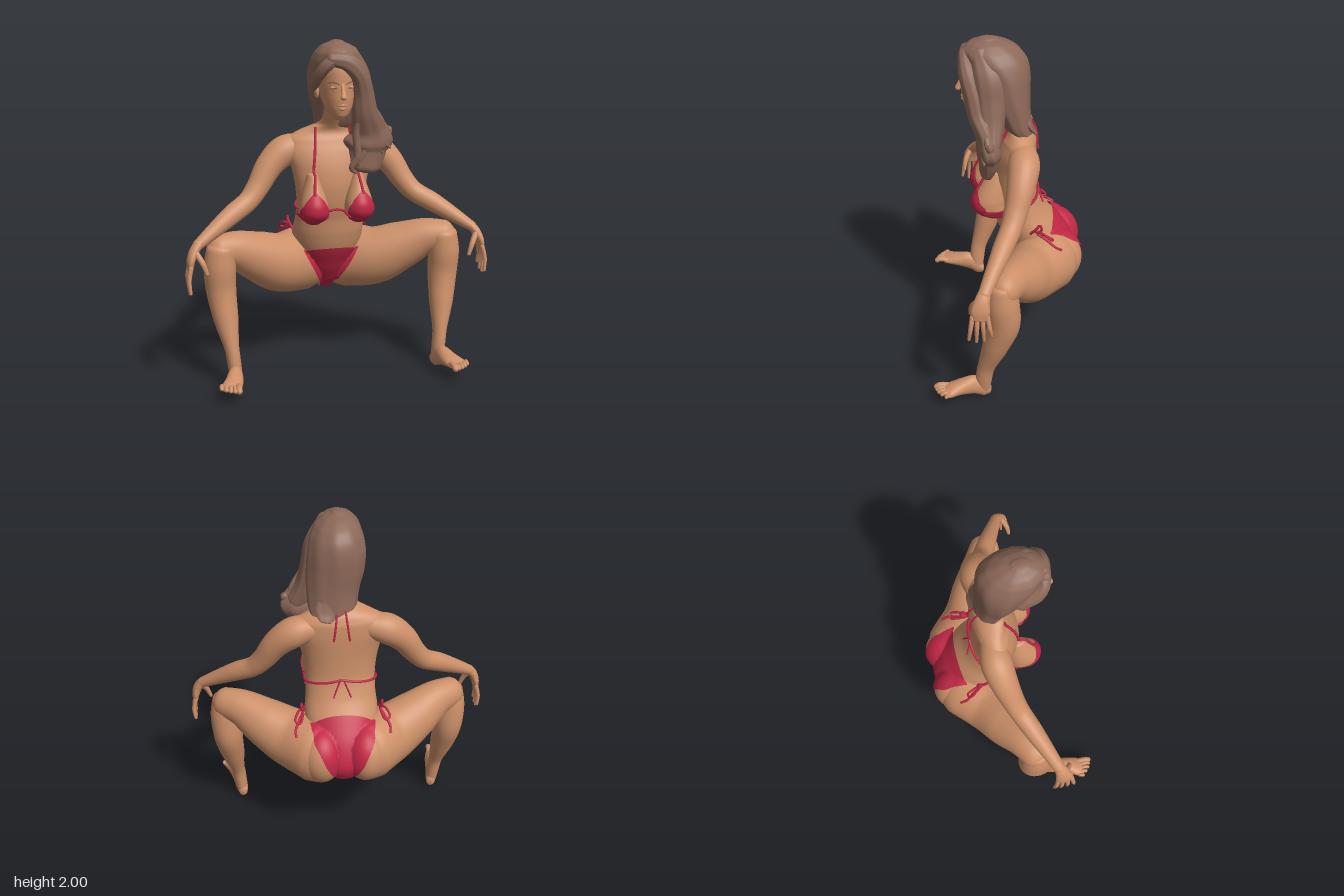
import * as THREE from 'three';
import { ParametricGeometry } from 'three/addons/geometries/ParametricGeometry.js';

const V = (x, y, z) => new THREE.Vector3(x, y, z);
const paint = (name, color) => Object.assign(new THREE.MeshStandardMaterial({ color }), { name });

// Smooth tube through points [x, y, z, ra, rb]; rb lies along ref, domes close both ends.
function limb(pts, { ref = V(0, 0, 1), axis = null, steps = 6, sides = 24, dome = 0.8, ridge = 0 } = {}) {
  const centre = new THREE.CatmullRomCurve3(pts.map(p => V(p[0], p[1], p[2])));
  const radii = new THREE.CatmullRomCurve3(pts.map(p => V(p[3], p[4] ?? p[3], 0)));
  const n = (pts.length - 1) * steps, rings = [];
  const add = (t, lift, k) => {
    const tan = axis ? axis.clone() : centre.getTangent(t);
    const r = radii.getPoint(t);
    rings.push({ c: centre.getPoint(t).addScaledVector(tan, lift * Math.min(r.x, r.y) * dome), tan, a: r.x * k, b: r.y * k });
  };
  const caps = [0.02, 0.4, 0.7, 0.92];
  caps.forEach(k => add(0, -Math.sqrt(1 - k * k), k));
  for (let i = 0; i <= n; i++) add(i / n, 0, 1);
  [...caps].reverse().forEach(k => add(1, Math.sqrt(1 - k * k), k));
  const pos = [], idx = [];
  rings.forEach(({ c, tan, a, b }, i) => {
    const bv = ref.clone().addScaledVector(tan, -ref.dot(tan)).normalize();
    const av = bv.clone().cross(tan);
    for (let j = 0; j < sides; j++) {
      const th = j / sides * Math.PI * 2, w = 1 + ridge * Math.sin(9 * th + i * 0.12);
      const p = c.clone().addScaledVector(av, Math.cos(th) * a * w).addScaledVector(bv, Math.sin(th) * b * w);
      pos.push(p.x, p.y, p.z);
      if (i < rings.length - 1) {
        const k = (j + 1) % sides, q = i * sides, s = q + sides;
        idx.push(q + j, q + k, s + j, q + k, s + k, s + j);
      }
    }
  });
  const g = new THREE.BufferGeometry();
  g.setAttribute('position', new THREE.Float32BufferAttribute(pos, 3));
  g.setIndex(idx);
  g.computeVertexNormals();
  return g;
}

// Stack of level sections [y, halfWidth, zFront, zBack, xCentre]
const stack = (rows, opt = {}) => limb(
  rows.map(([y, rx, f, b, x = 0]) => [x, y, (f + b) / 2, rx, (f - b) / 2]),
  { axis: V(0, 1, 0), sides: 40, dome: 0.3, ...opt });

const ellipsoid = (x, y, z, a, b, c) => new THREE.SphereGeometry(1, 32, 24).scale(a, b, c).translate(x, y, z);

// Piecewise linear lookup in [[key, value], ...] with rising keys
function lookup(rows, k) {
  let i = 0;
  while (i < rows.length - 2 && k > rows[i + 1][0]) i++;
  const [a, va] = rows[i], [b, vb] = rows[i + 1];
  return va + (vb - va) * THREE.MathUtils.clamp((k - a) / (b - a), 0, 1);
}

// Nearest surface point along a ray, lifted slightly off the skin
const caster = new THREE.Raycaster();
function drape(targets, from, dir, lift = 0.007) {
  caster.set(from, dir.clone().normalize());
  const hit = caster.intersectObjects(targets, false)[0];
  return hit ? hit.point.clone().addScaledVector(hit.face.normal, lift) : from.clone().addScaledVector(dir, 1);
}
const onFront = (t, x, y, lift) => drape(t, V(x, y, 1), V(0, 0, -1), lift);
const onBack = (t, x, y, lift) => drape(t, V(x, y, -1), V(0, 0, 1), lift);
const around = (t, ang, y, zc) => drape(t, V(Math.sin(ang), y, zc + Math.cos(ang)), V(-Math.sin(ang), 0, -Math.cos(ang)));

function sheet(fn, nu, nv) {
  const g = new ParametricGeometry((u, v, out) => out.copy(fn(u, v)), nu, nv);
  g.computeVertexNormals();
  return g;
}
const cord = (pts, r = 0.008) => new THREE.TubeGeometry(new THREE.CatmullRomCurve3(pts), pts.length * 4, r, 6);
const range = (n, fn) => Array.from({ length: n + 1 }, (_, i) => fn(i / n));

export function createModel() {
  const model = new THREE.Group();
  const skin = paint('skin', 0xcd9069), hair = paint('hair', 0x8c6858), red = paint('red fabric', 0xc22745);
  red.side = THREE.DoubleSide;
  const add = (name, geo, mat) => {
    const m = new THREE.Mesh(geo, mat);
    m.name = name;
    model.add(m);
    return m;
  };

  // Torso and neck
  const torso = add('torso', stack([
    [0.47, 0.06, -0.17, -0.32], [0.53, 0.13, -0.11, -0.39], [0.62, 0.18, -0.05, -0.42], [0.75, 0.21, 0.02, -0.37],
    [0.85, 0.215, 0.05, -0.3], [0.95, 0.205, 0.065, -0.225], [1.05, 0.205, 0.09, -0.185], [1.15, 0.215, 0.1, -0.175],
    [1.25, 0.235, 0.09, -0.175], [1.35, 0.27, 0.06, -0.175], [1.42, 0.26, 0.03, -0.17], [1.465, 0.19, 0.01, -0.15],
    [1.51, 0.09, 0.03, -0.11], [1.57, 0.068, 0.07, -0.07], [1.67, 0.07, 0.11, -0.05]]), skin);

  // Head
  add('head', stack([
    [1.572, 0.032, 0.215, 0.11], [1.595, 0.056, 0.232, 0.06], [1.63, 0.076, 0.242, 0.03], [1.69, 0.094, 0.25, -0.03],
    [1.76, 0.104, 0.25, -0.06], [1.85, 0.107, 0.245, -0.08], [1.92, 0.085, 0.2, -0.06], [1.96, 0.05, 0.15, 0]]), skin);
  add('nose', limb([[0, 1.775, 0.24, 0.011], [0, 1.735, 0.255, 0.013], [0, 1.702, 0.268, 0.019, 0.017]], { sides: 14 }), skin);
  add('upperLip', limb([[-0.036, 1.65, 0.226, 0.004], [0, 1.656, 0.244, 0.009], [0.036, 1.65, 0.226, 0.004]], { sides: 10 }), skin);
  add('lowerLip', limb([[-0.032, 1.646, 0.226, 0.004], [0, 1.636, 0.242, 0.01], [0.032, 1.646, 0.226, 0.004]], { sides: 10 }), skin);
  add('rightEar', ellipsoid(-0.112, 1.715, 0.085, 0.014, 0.04, 0.024), skin);

  const hips = [torso], chest = [torso];
  for (const s of [1, -1]) {
    const side = s > 0 ? 'left' : 'right', P = rows => rows.map(([x, ...r]) => [s * x, ...r]);
    const part = (name, rows, opt, mat = skin) => add(side + name, limb(P(rows), opt), mat);

    // Eyelid, lash line and brow
    add(side + 'Eyelid', ellipsoid(s * 0.045, 1.754, 0.226, 0.022, 0.01, 0.012), skin);
    part('Lashes', [[0.024, 1.75, 0.24, 0.002], [0.045, 1.754, 0.238, 0.004], [0.067, 1.752, 0.217, 0.002]], { sides: 8 }, hair);
    part('Brow', [[0.02, 1.775, 0.245, 0.004], [0.047, 1.784, 0.231, 0.005], [0.076, 1.779, 0.206, 0.003]], { sides: 8 }, hair);

    // Breast, buttock and leg
    chest.push(add(side + 'Breast', stack([
      [0.958, 0.045, 0.135, 0], [0.98, 0.07, 0.173, 0], [1.02, 0.083, 0.2, 0], [1.06, 0.081, 0.2, 0], [1.11, 0.069, 0.177, 0],
      [1.17, 0.05, 0.142, 0], [1.23, 0.03, 0.108, 0.02]].map(r => [...r, s * 0.134]), { sides: 32 }), skin));
    hips.push(add(side + 'Buttock', ellipsoid(s * 0.13, 0.635, -0.29, 0.13, 0.175, 0.158), skin));
    hips.push(part('Thigh', [[0.145, 0.63, -0.24, 0.2, 0.19], [0.3, 0.65, -0.13, 0.182, 0.165], [0.45, 0.722, -0.062, 0.15, 0.14],
      [0.58, 0.787, 0, 0.114, 0.105], [0.68, 0.805, 0.045, 0.094, 0.085]], { sides: 32, dome: 0.9 }));
    part('Shin', [[0.675, 0.82, 0.06, 0.085, 0.08], [0.684, 0.7, 0.055, 0.094, 0.095], [0.68, 0.57, 0.05, 0.089, 0.094],
      [0.662, 0.4, 0.095, 0.073, 0.075], [0.638, 0.22, 0.15, 0.042, 0.05], [0.628, 0.13, 0.163, 0.04, 0.048],
      [0.62, 0.065, 0.165, 0.036, 0.042]], { dome: 0.5 });
    part('Foot', [[0.613, 0.045, 0.132, 0.028, 0.036], [0.62, 0.062, 0.165, 0.037, 0.06], [0.633, 0.092, 0.22, 0.043, 0.062],
      [0.652, 0.095, 0.3, 0.054, 0.044], [0.672, 0.092, 0.355, 0.062, 0.031], [0.678, 0.09, 0.385, 0.058, 0.022]],
    { ref: V(0, 1, 0), axis: V(0, 0, 1), dome: 0.5 });
    for (let i = 0; i < 5; i++) {
      const x = 0.637 + i * 0.023, tip = 0.44 - i * i * 0.0035, r = i ? 0.012 : 0.018;
      part('Toe' + (i + 1), [[x, 0.094, 0.36, r], [x + 0.004, 0.103, tip - 0.02, r], [x + 0.006, 0.092, tip, r]], { ref: V(0, 1, 0), sides: 10, steps: 3 });
    }

    // Arm, hand and fingers
    part('Arm', [[0.17, 1.375, -0.085, 0.075], [0.27, 1.345, -0.085, 0.09], [0.36, 1.27, -0.065, 0.08], [0.44, 1.15, -0.03, 0.066],
      [0.5, 1.08, 0, 0.06], [0.6, 1.02, 0.05, 0.058, 0.056], [0.72, 0.945, 0.11, 0.044], [0.82, 0.88, 0.16, 0.03, 0.034]]);
    part('Hand', [[0.81, 0.89, 0.155, 0.028, 0.034], [0.842, 0.85, 0.172, 0.027, 0.042], [0.862, 0.8, 0.182, 0.024, 0.052],
      [0.868, 0.755, 0.185, 0.018, 0.046]]);
    for (let i = 0; i < 4; i++) {
      const z = 0.145 + i * 0.027, end = z + (i - 1.5) * 0.014, low = [0.635, 0.605, 0.6, 0.615][i];
      part('Finger' + (i + 1), [[0.866, 0.77, z, 0.014], [0.88, 0.7, (z + end) / 2, 0.013], [0.875, low + 0.01, end, 0.009]], { sides: 10, steps: 4 });
    }
    part('Thumb', [[0.835, 0.85, 0.195, 0.018], [0.8, 0.79, 0.225, 0.016], [0.778, 0.73, 0.235, 0.011]], { sides: 12 });
  }

  // Bikini bottom: one panel wrapped from belly, under the crotch, up to the back
  const width = [[-251, 0.19], [-205, 0.17], [-170, 0.105], [-140, 0.05], [-110, 0.03], [-75, 0.038], [-25, 0.105], [21, 0.175]];
  add('bikiniBottom', sheet((u, v) => {
    const deg = 21 - 272 * v, a = deg * Math.PI / 180, x = (u * 2 - 1) * lookup(width, deg);
    const d = V(0, Math.sin(a), Math.cos(a));
    return drape(hips, V(x, 0.68, -0.2).addScaledVector(d, 1), d.negate(), 0.009);
  }, 26, 64), red);

  // Bikini top and ties
  const cup = [[0.95, 0.03], [0.967, 0.06], [1, 0.077], [1.04, 0.074], [1.09, 0.048], [1.14, 0.006]];
  for (const s of [1, -1]) {
    const side = s > 0 ? 'left' : 'right';
    add(side + 'Cup', sheet((u, v) => {
      const y = 0.952 + 0.185 * v;
      return onFront(chest, s * (0.139 + (u * 2 - 1) * lookup(cup, y)), y, 0.008);
    }, 20, 24), red);
    add(side + 'NeckString', cord(range(14, t => onFront(chest, s * (0.143 - 0.045 * t), 1.12 + 0.37 * t))), red);
    add(side + 'NapeString', cord(range(8, t => onBack(chest, s * (0.02 + 0.025 * t), 1.52 - 0.19 * t)), 0.006), red);
    add(side + 'BackString', cord(range(16, t => around(chest, s * (1.1 + 2.04 * t), 1.0 + 0.075 * t, -0.05))), red);
    add(side + 'BackTail', cord(range(6, t => onBack(chest, s * (0.01 + 0.04 * t), 1.07 - 0.1 * t)), 0.005), red);
    // Side tie: knot on the hip, a long loop and a tail lying back over the thigh
    add(side + 'SideTie', cord([V(s * 0.215, 0.855, -0.13), V(s * 0.235, 0.9, -0.165), V(s * 0.235, 0.925, -0.185), V(s * 0.235, 0.89, -0.195),
      V(s * 0.225, 0.865, -0.17), V(s * 0.25, 0.835, -0.22), V(s * 0.275, 0.8, -0.27), V(s * 0.275, 0.775, -0.31)]), red);
    add(side + 'SideLoop', cord([V(s * 0.22, 0.87, -0.16), V(s * 0.255, 0.88, -0.2), V(s * 0.275, 0.845, -0.25),
      V(s * 0.25, 0.835, -0.26), V(s * 0.225, 0.86, -0.19)], 0.007), red);
  }
  add('bridgeString', cord(range(10, t => onFront(chest, -0.08 + 0.16 * t, 0.99 + 0.03 * Math.sin(t * Math.PI)))), red);

  // Hair mass behind and over the head
  add('hairMass', stack([
    [1.46, 0.125, -0.02, -0.15, 0.045], [1.5, 0.138, 0.02, -0.145, 0.045], [1.6, 0.15, 0.07, -0.135, 0.04], [1.7, 0.163, 0.12, -0.135, 0.025],
    [1.8, 0.162, 0.16, -0.132, 0.015], [1.88, 0.148, 0.225, -0.115, 0.01], [1.935, 0.122, 0.24, -0.075, 0.005],
    [1.975, 0.08, 0.2, -0.01, 0], [1.992, 0.04, 0.155, 0.045, 0]], { sides: 72, ridge: 0.014 }), hair);

  // Swept front locks falling over the left shoulder, and the short right side tucked behind the ear
  const lock = (name, pts, ridge = 0.03) => add(name, limb(pts, { ridge, sides: 36 }), hair);
  lock('frontSweep', [[-0.06, 1.91, 0.22, 0.035, 0.03], [0.03, 1.89, 0.23, 0.052, 0.035], [0.1, 1.82, 0.212, 0.052, 0.05],
    [0.132, 1.72, 0.185, 0.06, 0.055], [0.15, 1.6, 0.16, 0.075, 0.06], [0.185, 1.48, 0.115, 0.11, 0.06],
    [0.185, 1.37, 0.1, 0.11, 0.06], [0.17, 1.27, 0.115, 0.085, 0.045]]);
  lock('sideSweep', [[0.06, 1.93, 0.14, 0.05, 0.06], [0.14, 1.82, 0.1, 0.045, 0.08], [0.165, 1.68, 0.09, 0.05, 0.08],
    [0.19, 1.55, 0.09, 0.06, 0.07], [0.24, 1.45, 0.09, 0.06, 0.05], [0.3, 1.4, 0.09, 0.02]]);
  lock('rightSweep', [[-0.02, 1.92, 0.215, 0.035], [-0.08, 1.875, 0.21, 0.034, 0.035], [-0.115, 1.815, 0.155, 0.03, 0.045],
    [-0.125, 1.76, 0.08, 0.025, 0.045]]);
  lock('backFlick', [[0.06, 1.56, -0.09, 0.08, 0.04], [0.08, 1.49, -0.13, 0.07, 0.022], [0.09, 1.45, -0.165, 0.035, 0.008]]);
  for (let i = 0; i < 6; i++) {
    const x = 0.08 + i * 0.04, low = 1.24 + i * 0.028;
    lock('curl' + (i + 1), [[0.12 + i * 0.018, 1.6, 0.185 - i * 0.012, 0.016], [x + 0.02, 1.48, 0.16 - i * 0.01, 0.02],
      [x + 0.03, low + 0.1, 0.15 - i * 0.01, 0.022], [x, low + 0.03, 0.14, 0.016], [x + 0.03, low, 0.135, 0.006]], 0);
  }
  return model;
}
